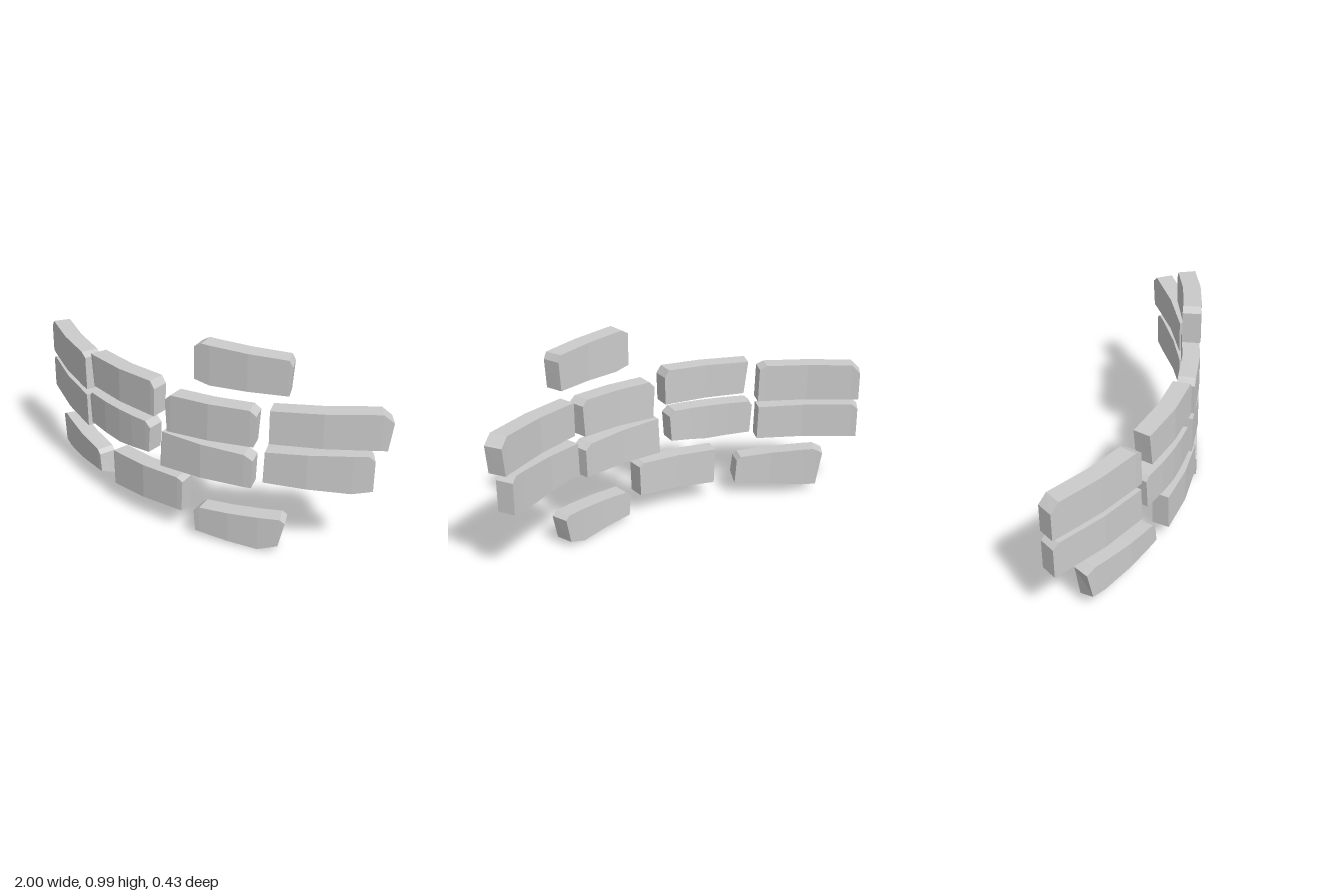
import * as THREE from 'three';

const THICKNESS = 0.085;

// Each brick: top edge and bottom edge as [x, y] points from left to right on the front face.
// "drop" lowers the rear bottom edge.
const BRICKS = [
  { name: 'crownBrick', top: [[0.185, 0.975], [0.22, 0.995], [0.6, 0.975], [0.615, 0.945]], bottom: [[0.185, 0.82], [0.26, 0.803], [0.605, 0.808]] },
  // upper course
  { name: 'upperBrick1', top: [[-1, 0.665], [-0.965, 0.708], [-0.58, 0.708], [-0.545, 0.69]], bottom: [[-1, 0.527], [-0.54, 0.522]] },
  { name: 'upperBrick2', top: [[-0.485, 0.737], [-0.055, 0.745], [-0.03, 0.71]], bottom: [[-0.465, 0.573], [-0.035, 0.57]] },
  { name: 'upperBrick3', top: [[0.03, 0.675], [0.06, 0.705], [0.445, 0.715], [0.475, 0.69]], bottom: [[0.04, 0.517], [0.465, 0.537]] },
  { name: 'upperBrick4', top: [[0.53, 0.727], [0.96, 0.745], [1, 0.705]], bottom: [[0.53, 0.565], [0.985, 0.57]] },
  // middle course
  { name: 'middleBrick1', top: [[-1, 0.475], [-0.975, 0.5], [-0.545, 0.49]], bottom: [[-1, 0.325], [-0.54, 0.32]] },
  { name: 'middleBrick2', top: [[-0.51, 0.505], [-0.49, 0.525], [-0.09, 0.527], [-0.06, 0.5]], bottom: [[-0.5, 0.36], [-0.27, 0.35], [-0.07, 0.37]] },
  { name: 'middleBrick3', top: [[0.01, 0.505], [0.425, 0.49], [0.465, 0.465]], bottom: [[0, 0.322], [0.46, 0.325]] },
  { name: 'middleBrick4', top: [[0.515, 0.52], [0.92, 0.54], [0.945, 0.515]], bottom: [[0.51, 0.365], [0.865, 0.347], [0.945, 0.363]] },
  // lower course
  { name: 'lowerBrick1', top: [[-0.86, 0.225], [-0.82, 0.248], [-0.46, 0.22], [-0.44, 0.2]], bottom: [[-0.835, 0.085], [-0.77, 0.08], [-0.43, 0.11]], drop: 0.035 },
  { name: 'lowerBrick2', top: [[-0.32, 0.28], [0.095, 0.287], [0.125, 0.27]], bottom: [[-0.315, 0.097], [0.12, 0.115]] },
  { name: 'lowerBrick3', top: [[0.185, 0.135], [0.215, 0.16], [0.59, 0.178], [0.612, 0.16]], bottom: [[0.195, 0.03], [0.495, 0.002], [0.585, 0.035]] },
];

// Point on a polyline at x, held at its ends
function sample(chain, x) {
  const last = chain.length - 1;
  if (x <= chain[0][0]) return chain[0];
  if (x >= chain[last][0]) return chain[last];
  const i = chain.findIndex((p) => p[0] > x);
  const [x0, y0] = chain[i - 1];
  const [x1, y1] = chain[i];
  return [x, y0 + ((y1 - y0) * (x - x0)) / (x1 - x0)];
}

// Wrap a flat point onto the curved wall, pushed back along the wall normal
function wrap([x, y], depth) {
  const nx = 0.72 * x;
  const len = Math.hypot(nx, 1);
  return [x - (depth * nx) / len, y, 0.217 - 0.36 * x * x - depth / len];
}

function brickGeometry({ top, bottom, drop = 0 }) {
  // Stations at every outline corner, with one bend inside each long span
  const corners = [...new Set([...top, ...bottom].map((p) => p[0]))].sort((a, b) => a - b);
  const xs = corners.flatMap((x, i) => {
    const next = corners[i + 1];
    return next - x > 0.18 ? [x, (x + next) / 2] : [x];
  });
  const rings = xs.map((x) => {
    const t = sample(top, x);
    const b = sample(bottom, x);
    return [wrap(b, 0), wrap(t, 0), wrap(t, THICKNESS), wrap([b[0], b[1] - drop], THICKNESS)];
  });

  const positions = [];
  const quad = (a, b, c, d) => positions.push(...a, ...b, ...c, ...a, ...c, ...d);
  for (let i = 0; i < rings.length - 1; i++) {
    const r = rings[i];
    const s = rings[i + 1];
    for (let k = 0; k < 4; k++) quad(r[k], s[k], s[(k + 1) % 4], r[(k + 1) % 4]);
  }
  quad(...rings[0]);
  quad(...rings[rings.length - 1].slice().reverse());

  const geometry = new THREE.BufferGeometry();
  geometry.setAttribute('position', new THREE.Float32BufferAttribute(positions, 3));
  geometry.computeVertexNormals();
  return geometry;
}

export function createModel() {
  const group = new THREE.Group();
  group.name = 'curvedBrickPatch';
  const material = new THREE.MeshStandardMaterial({ color: 0xcccccc, flatShading: true });
  for (const brick of BRICKS) {
    const mesh = new THREE.Mesh(brickGeometry(brick), material);
    mesh.name = brick.name;
    group.add(mesh);
  }
  return group;
}
